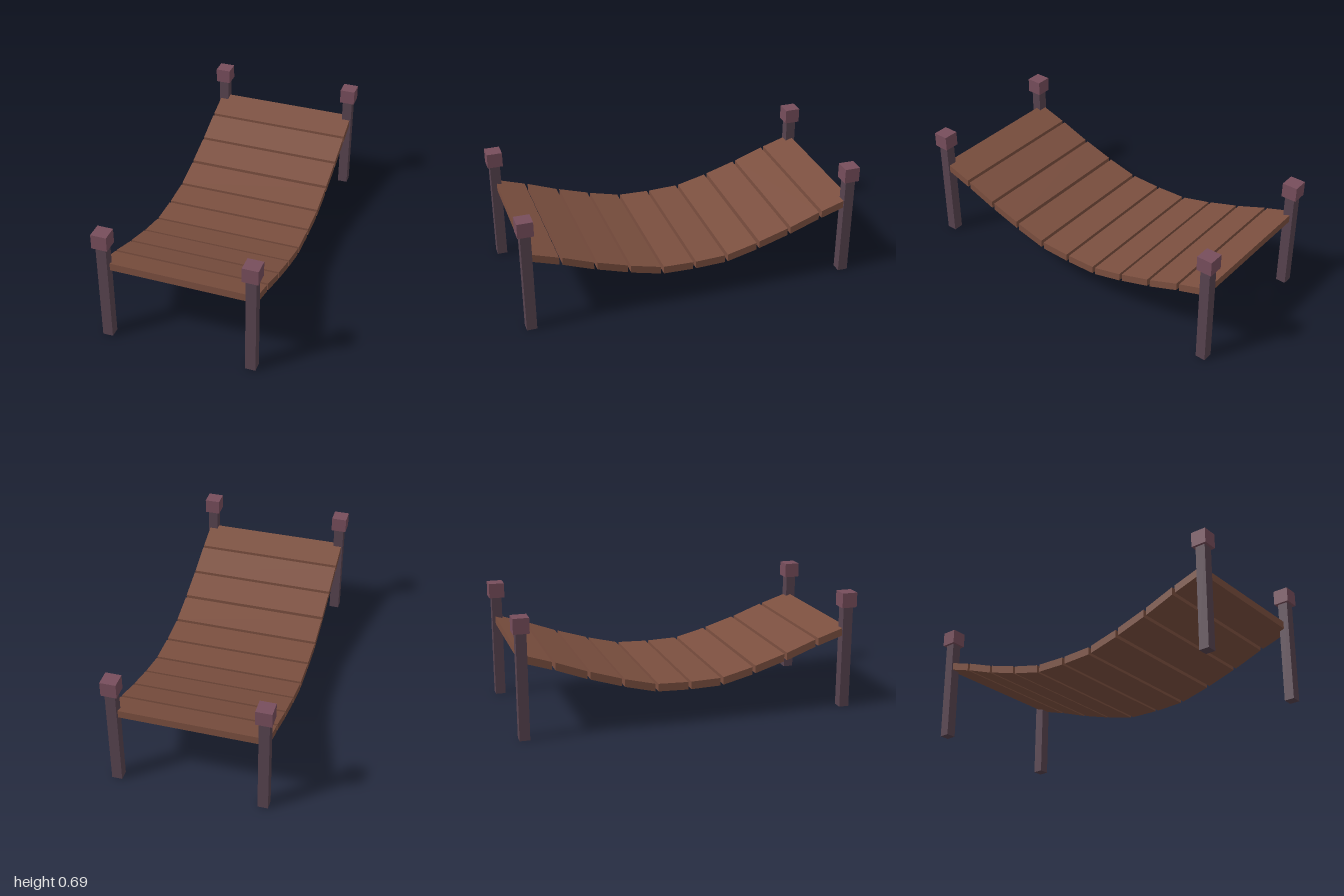
import * as THREE from 'three';

const plankMaterial = new THREE.MeshStandardMaterial({ color: 0x7b4f3f, flatShading: true });
const postMaterial = new THREE.MeshStandardMaterial({ color: 0x57434f, flatShading: true });
const capMaterial = new THREE.MeshStandardMaterial({ color: 0x774e5c, flatShading: true });

function box(name, size, position, material) {
  const mesh = new THREE.Mesh(new THREE.BoxGeometry(...size), material);
  mesh.name = name;
  mesh.position.set(...position);
  return mesh;
}

// Plank sheared along the slope so its end faces stay vertical
function plank(z0, z1, y0, y1) {
  const width = 0.88, thickness = 0.045;
  const geometry = new THREE.BoxGeometry(width, thickness, z1 - z0);
  const p = geometry.attributes.position;
  for (let i = 0; i < p.count; i++) {
    const top = p.getZ(i) > 0 ? y1 : y0;
    p.setY(i, p.getY(i) > 0 ? top : top - thickness);
  }
  geometry.computeVertexNormals();
  const mesh = new THREE.Mesh(geometry, plankMaterial);
  mesh.name = 'plank';
  mesh.position.z = (z0 + z1) / 2;
  return mesh;
}

export function createModel() {
  const model = new THREE.Group();
  model.name = 'hangingBridge';

  // Sagging deck: top heights at the back and front edge of each plank
  const deck = new THREE.Group();
  deck.name = 'deck';
  const heights = [
    [0.49, 0.433], [0.428, 0.362], [0.357, 0.302], [0.296, 0.252], [0.25, 0.244],
    [0.244, 0.249], [0.252, 0.296], [0.302, 0.357], [0.362, 0.428], [0.433, 0.49],
  ];
  heights.forEach(([y0, y1], i) => {
    const z = -0.967 + i * 0.1938;
    deck.add(plank(z, z + 0.176, y0, y1));
  });
  model.add(deck);

  // Four capped corner posts
  for (const x of [-0.419, 0.419]) {
    for (const z of [-0.955, 0.955]) {
      const post = new THREE.Group();
      post.name = 'cornerPost';
      post.add(box('postShaft', [0.059, 0.61, 0.059], [x, 0.305, z], postMaterial));
      post.add(box('postCap', [0.09, 0.087, 0.09], [x, 0.6515, z], capMaterial));
      model.add(post);
    }
  }
  return model;
}
